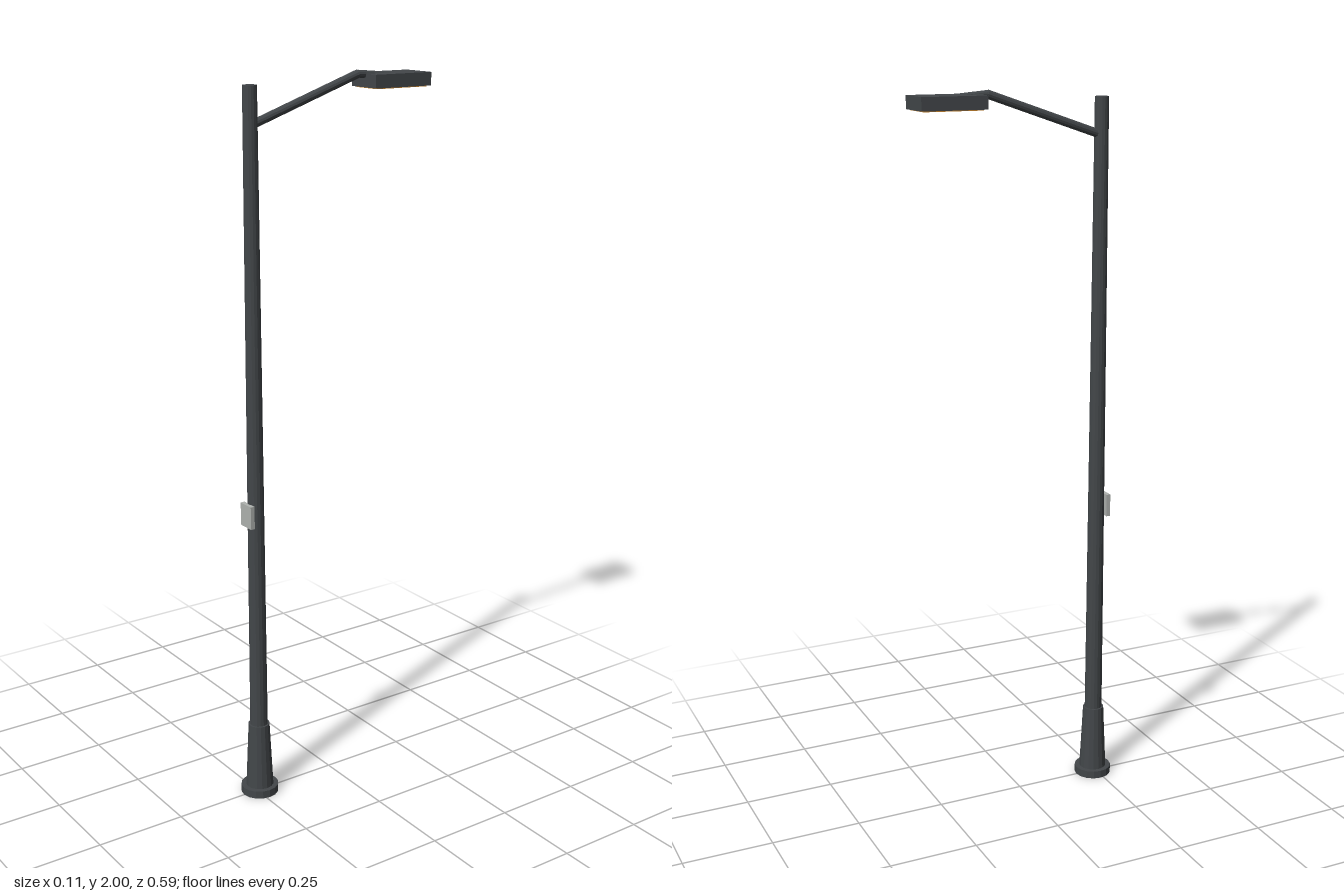
import * as THREE from 'three';

const DARK = 0x43474a;
const POLE_Z = 0.24;

function part(name, geometry, color, flat = true) {
  const mesh = new THREE.Mesh(
    geometry,
    new THREE.MeshStandardMaterial({ color, flatShading: flat })
  );
  mesh.name = name;
  return mesh;
}

// Upright tapered cylinder on the pole axis between two heights
function column(name, rBottom, rTop, y0, y1) {
  const mesh = part(name, new THREE.CylinderGeometry(rTop, rBottom, y1 - y0, 16), DARK);
  mesh.position.set(0, (y0 + y1) / 2, POLE_Z);
  return mesh;
}

// Tapered rod between two points
function rod(name, a, b, rA, rB) {
  const dir = b.clone().sub(a);
  const mesh = part(name, new THREE.CylinderGeometry(rB, rA, dir.length(), 12), DARK);
  mesh.position.copy(a).add(b).multiplyScalar(0.5);
  mesh.quaternion.setFromUnitVectors(new THREE.Vector3(0, 1, 0), dir.normalize());
  return mesh;
}

function box(name, w, h, d, y, z, color) {
  const mesh = part(name, new THREE.BoxGeometry(w, h, d), color);
  mesh.position.set(0, y, z);
  return mesh;
}

export function createModel() {
  const group = new THREE.Group();
  group.name = 'streetLamp';

  // Foot, flared sleeve and slender pole
  group.add(
    column('baseFlange', 0.053, 0.053, 0, 0.022),
    column('baseSleeve', 0.039, 0.03, 0.022, 0.212),
    column('pole', 0.025, 0.019, 0.212, 1.975)
  );

  // Rising arm and the short spigot that enters the lamp head
  const root = new THREE.Vector3(0, 1.878, POLE_Z - 0.01);
  const elbow = new THREE.Vector3(0, 1.988, -0.093);
  const tip = new THREE.Vector3(0, 1.979, -0.196);
  group.add(
    rod('arm', root, elbow, 0.0115, 0.0115),
    rod('armSpigot', elbow, tip, 0.01, 0.01)
  );

  // Lamp head with an amber lens underneath
  group.add(
    box('lampHead', 0.106, 0.035, 0.182, 1.97, -0.204, DARK),
    box('lampLens', 0.09, 0.004, 0.164, 1.952, -0.204, 0xd08a30)
  );

  // Small plate on the front of the pole
  group.add(box('frontPlate', 0.051, 0.064, 0.012, 0.84, 0.266, 0xb0b3b0));

  return group;
}
